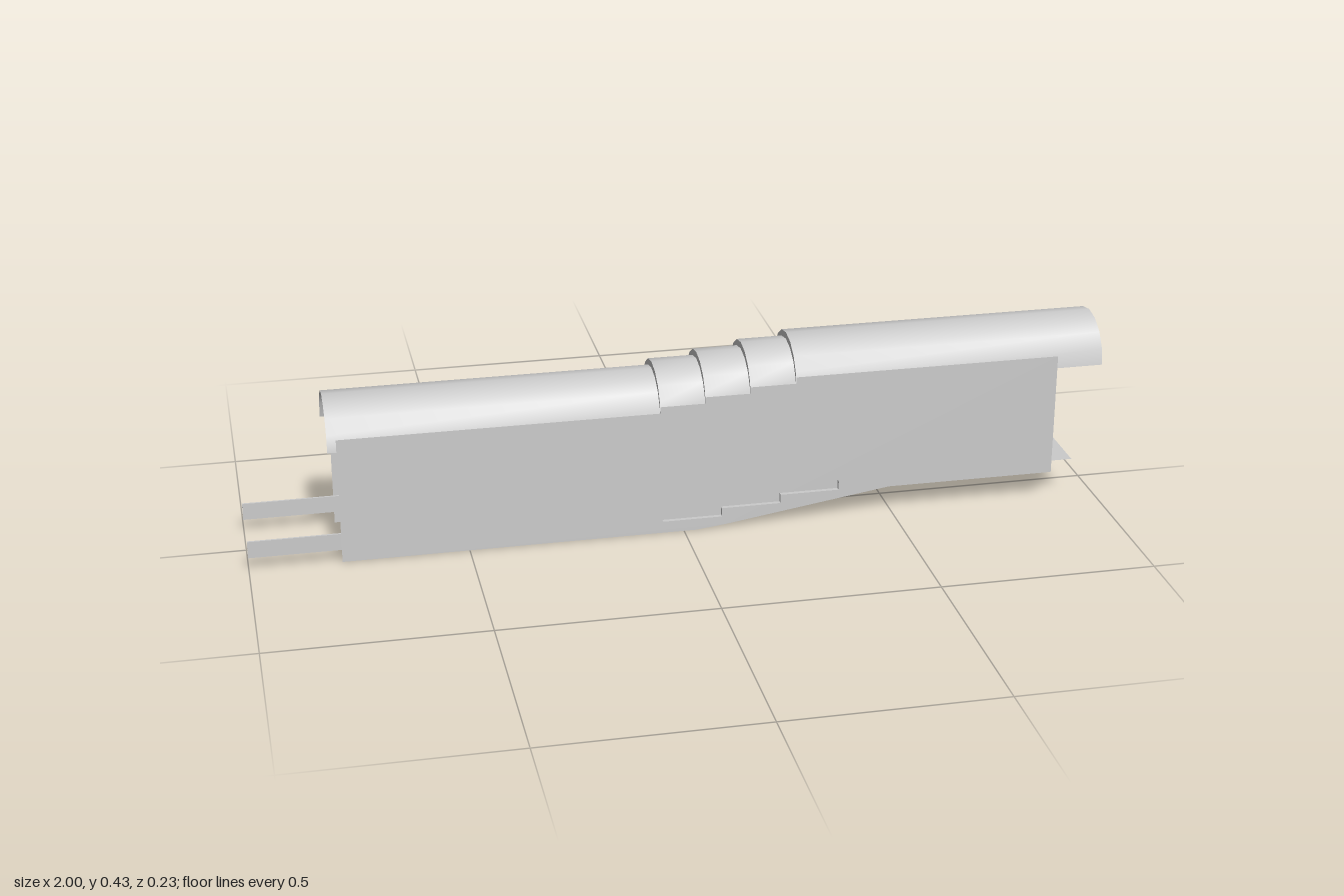
import * as THREE from 'three';

const material = new THREE.MeshStandardMaterial({ color: 0xcccccc, side: THREE.DoubleSide });

function addMesh(parent, name, geometry) {
  const mesh = new THREE.Mesh(geometry, material);
  mesh.name = name;
  parent.add(mesh);
  return mesh;
}

// Sweeps a [z, y] profile between two [x, y] stations
function sweep(profile, from, to) {
  const positions = [], index = [];
  for (const [z, y] of profile) {
    positions.push(from[0], from[1] + y, z, to[0], to[1] + y, z);
  }
  for (let j = 0; j < profile.length - 1; j++) {
    const a = j * 2;
    index.push(a, a + 1, a + 3, a, a + 3, a + 2);
  }
  const geometry = new THREE.BufferGeometry();
  geometry.setAttribute('position', new THREE.Float32BufferAttribute(positions, 3));
  geometry.setIndex(index);
  geometry.computeVertexNormals();
  return geometry;
}

const shapeOf = (points) => new THREE.Shape(points.map(([x, y]) => new THREE.Vector2(x, y)));

export function createModel() {
  const model = new THREE.Group();
  model.name = 'steppedCorridor';

  // Arched roof: two long vaults joined by three short rising ones
  const arch = [];
  for (let i = 0; i <= 8; i++) {
    const angle = (i / 8) * Math.PI;
    arch.push([0.105 * Math.cos(angle), 0.1 * Math.sin(angle)]);
  }
  const roofEnds = [-0.81, -0.055, 0.05, 0.155, 0.262, 1];
  const roofBase = (i) => 0.271 + i * 0.0155;
  const roof = new THREE.Group();
  roof.name = 'roof';
  model.add(roof);
  for (let i = 0; i < 5; i++) {
    const y = roofBase(i);
    addMesh(roof, 'roofVault', sweep(arch, [roofEnds[i], y], [roofEnds[i + 1], y]));
    if (i < 4) {
      addMesh(roof, 'roofRiser', sweep(arch, [roofEnds[i + 1], y], [roofEnds[i + 1], roofBase(i + 1)]));
    }
  }

  // Side walls: sloping lower edge, stepped upper edge following the roof
  const wall = [[-0.79, 0], [0.03, 0], [0.1, 0.008], [0.49, 0.067], [0.89, 0.067]];
  const wallEnds = [-0.79, ...roofEnds.slice(1, 5), 0.89];
  for (let i = 4; i >= 0; i--) {
    const y = roofBase(i) + 0.03;
    wall.push([wallEnds[i + 1], y], [wallEnds[i], y]);
  }

  // Skirting rails: thin strips following the floor, projecting at the low end
  const railPath = [[-1, 0.03], [-0.05, 0.03], [0.366, 0.093], [0.7, 0.093]];
  const rail = [...railPath, ...railPath.map(([x, y]) => [x, y + 0.04]).reverse()];

  for (const side of [1, -1]) {
    const label = side > 0 ? 'left' : 'right';
    const panel = addMesh(model, label + 'Wall', new THREE.ShapeGeometry(shapeOf(wall)));
    panel.position.z = side * 0.105;
    if (side < 0) panel.geometry.rotateY(Math.PI).scale(-1, 1, 1);

    const strip = addMesh(model, label + 'Rail',
      new THREE.ExtrudeGeometry(shapeOf(rail), { depth: 0.005, bevelEnabled: false }));
    strip.position.z = side * 0.1015 - 0.0025;
  }

  // Floors at both levels
  const floorProfile = [[0.104, 0], [-0.104, 0]];
  addMesh(model, 'lowerFloor', sweep(floorProfile, [-0.745, 0.033], [-0.05, 0.033]));
  addMesh(model, 'upperFloor', sweep(floorProfile, [0.366, 0.096], [0.94, 0.096]));

  // Stairs: three treads and risers reaching slightly through the walls
  const stairs = new THREE.Group();
  stairs.name = 'stairs';
  model.add(stairs);
  const stepProfile = [[0.115, 0], [-0.115, 0]];
  const run = 0.139, rise = 0.021;
  for (let i = 0; i < 3; i++) {
    const x = -0.051 + i * run, y = 0.033 + i * rise;
    addMesh(stairs, 'tread', sweep(stepProfile, [x, y], [x + run, y]));
    addMesh(stairs, 'riser', sweep(stepProfile, [x + run, y], [x + run, y + rise]));
  }
  return model;
}
